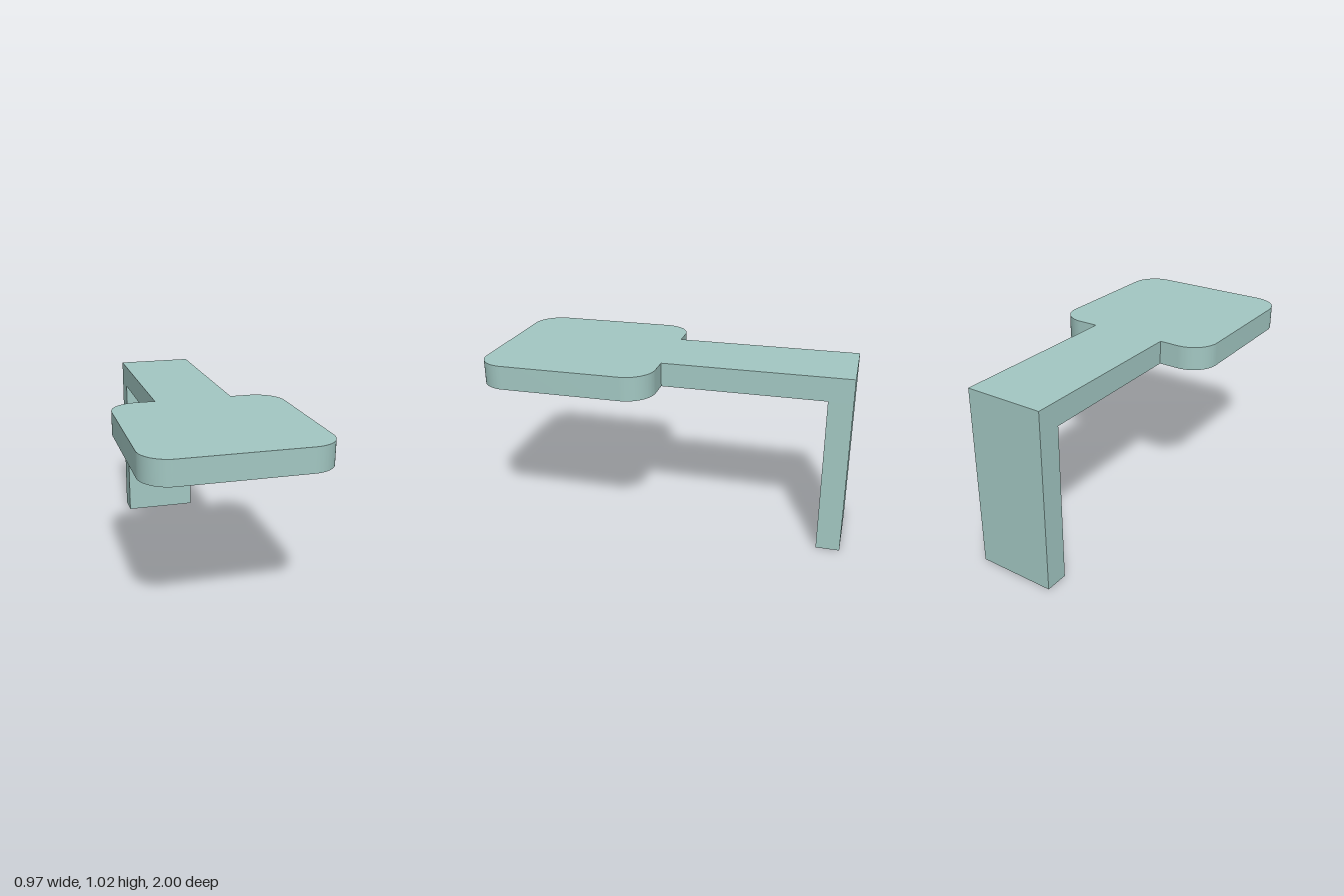
import * as THREE from 'three';
import { toCreasedNormals } from 'three/addons/utils/BufferGeometryUtils.js';

const THICK = 0.132, TOP = 1.02;      // sheet thickness and upper surface height
const ARM = 0.22, PAD = 0.487, R = 0.155; // half widths and corner radius
const BACK = -1, NECK = 0.03, FRONT = 1;  // z stations

export function createModel() {
  const model = new THREE.Group();
  model.name = 'bracket';
  const paleTeal = new THREE.MeshStandardMaterial({ color: 0xa3c8c3 });
  paleTeal.name = 'paleTeal';

  // Top plate: narrow arm widening into a rounded pad (shape y becomes z)
  const outline = new THREE.Shape();
  outline.moveTo(-ARM, BACK);
  outline.lineTo(ARM, BACK);
  outline.lineTo(ARM, NECK);
  outline.lineTo(PAD - R, NECK);
  outline.absarc(PAD - R, NECK + R, R, -Math.PI / 2, 0, false);
  outline.absarc(PAD - R, FRONT - R, R, 0, Math.PI / 2, false);
  outline.absarc(-PAD + R, FRONT - R, R, Math.PI / 2, Math.PI, false);
  outline.absarc(-PAD + R, NECK + R, R, Math.PI, Math.PI * 1.5, false);
  outline.lineTo(-ARM, NECK);
  outline.closePath();
  const plateGeometry = new THREE.ExtrudeGeometry(outline, {
    depth: THICK, bevelEnabled: false, curveSegments: 16,
  });
  plateGeometry.rotateX(Math.PI / 2).translate(0, TOP, 0);
  const plate = new THREE.Mesh(toCreasedNormals(plateGeometry, Math.PI / 6), paleTeal);
  plate.name = 'topPlate';

  // Upright leg under the back end of the arm
  const height = TOP - THICK;
  const leg = new THREE.Mesh(new THREE.BoxGeometry(ARM * 2, height, THICK), paleTeal);
  leg.position.set(0, height / 2, BACK + THICK / 2);
  leg.name = 'backLeg';

  model.add(plate, leg);
  return model;
}
